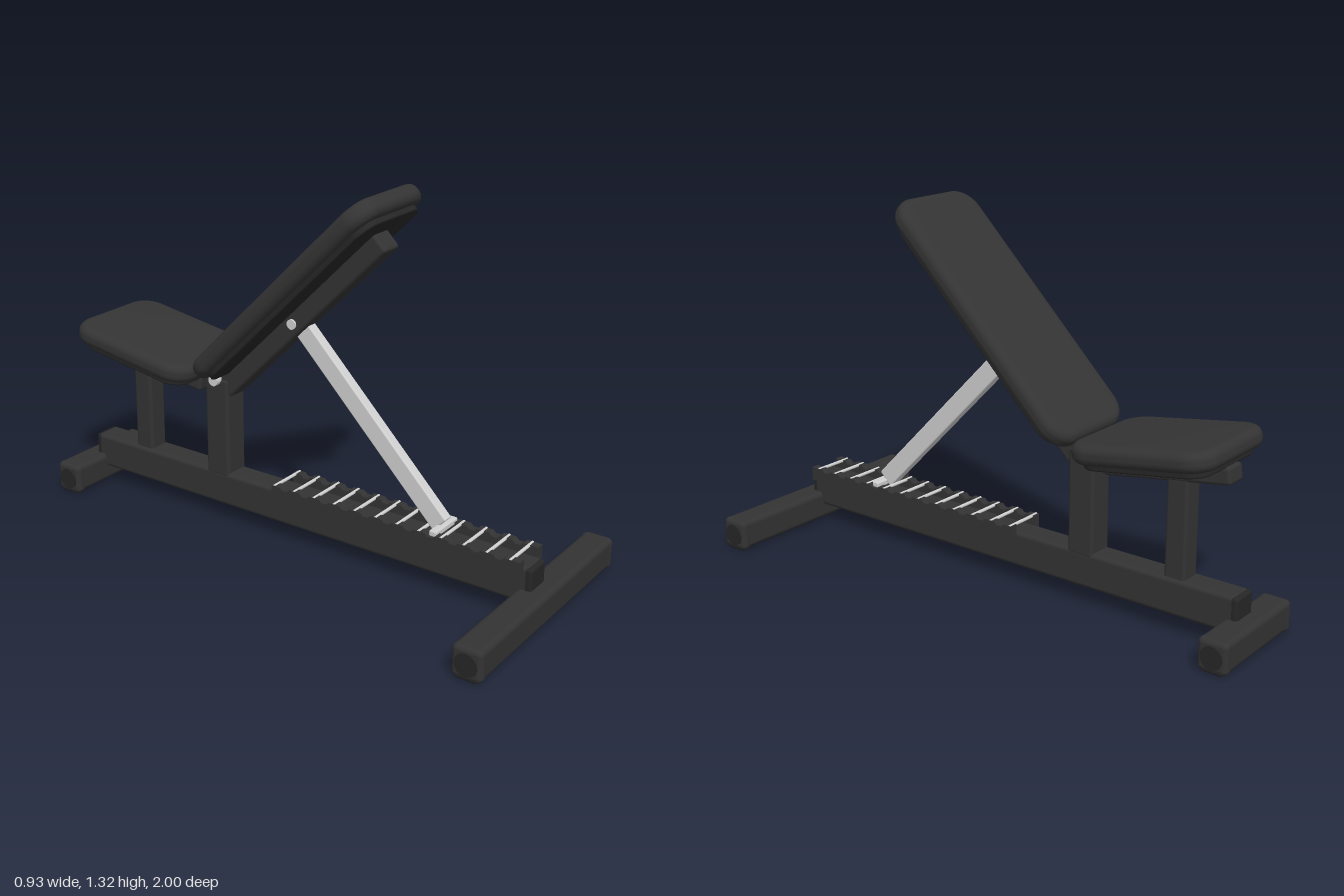
import * as THREE from 'three';
import { toCreasedNormals } from 'three/addons/utils/BufferGeometryUtils.js';
import { RoundedBoxGeometry } from 'three/addons/geometries/RoundedBoxGeometry.js';

const material = (name, color) => {
  const m = new THREE.MeshStandardMaterial({ color });
  m.name = name;
  return m;
};

// Rounded rectangle outline centred on the origin
function roundedRect(w, h, r) {
  const s = new THREE.Shape(), x = w / 2, y = h / 2;
  s.absarc(x - r, y - r, r, 0, Math.PI / 2);
  s.absarc(-x + r, y - r, r, Math.PI / 2, Math.PI);
  s.absarc(-x + r, -y + r, r, Math.PI, Math.PI * 1.5);
  s.absarc(x - r, -y + r, r, Math.PI * 1.5, Math.PI * 2);
  s.closePath();
  return s;
}

// Slab lying flat: w along x, l along z, t along y, with rounded corners and edges
function slab(w, l, t, corner, edge) {
  const g = new THREE.ExtrudeGeometry(roundedRect(w - 2 * edge, l - 2 * edge, corner - edge), {
    depth: t - 2 * edge, bevelEnabled: true, bevelThickness: edge, bevelSize: edge, bevelSegments: 5, curveSegments: 8,
  });
  g.center();
  g.rotateX(-Math.PI / 2);
  return toCreasedNormals(g, 0.6);
}

export function createModel() {
  const model = new THREE.Group();
  model.name = 'adjustableBench';
  const frame = material('darkFrame', 0x333333);
  const padding = material('padUpholstery', 0x343434);
  const rubber = material('blackRubber', 0x262626);
  const steel = material('paleSteel', 0xd0d0d0);

  const add = (parent, name, geometry, mat, x, y, z) => {
    const mesh = new THREE.Mesh(geometry, mat);
    mesh.name = name;
    mesh.position.set(x, y, z);
    parent.add(mesh);
    return mesh;
  };
  const tube = (w, h, d, r = 0.012) => new RoundedBoxGeometry(w, h, d, 3, r);
  const pin = (r, length) => new THREE.CylinderGeometry(r, r, length, 16).rotateZ(Math.PI / 2);

  // Base beam and its end caps
  add(model, 'baseBeam', tube(0.1, 0.13, 1.87, 0.016), frame, 0, 0.128, 0.002);
  for (const s of [-1, 1]) add(model, 'beamCap', tube(0.1, 0.126, 0.03), rubber, 0, 0.128, 0.002 + s * 0.928);

  // Cross feet with rubber end caps
  const foot = (name, half, z) => {
    const g = new THREE.Group();
    g.name = name;
    g.position.set(0, 0, z);
    model.add(g);
    add(g, 'footTube', tube(half * 2 - 0.01, 0.108, 0.106, 0.02), frame, 0, 0.06, 0);
    for (const s of [-1, 1]) {
      add(g, 'footCap', tube(0.04, 0.112, 0.108, 0.018), frame, s * (half - 0.02), 0.058, 0);
      add(g, 'footPad', tube(0.07, 0.02, 0.08, 0.008), rubber, s * (half - 0.036), 0.01, 0);
      add(g, 'capDisc', pin(0.04, 0.006), rubber, s * half, 0.056, 0);
    }
  };
  foot('frontFoot', 0.46, 0.946);
  foot('rearFoot', 0.21, -0.946);

  // Ladder rails with notched tops and steel rungs
  const pitch = 0.085, rungs = 12, firstZ = 0.88;
  const profile = new THREE.Shape();
  profile.moveTo(0.915, 0.17);
  profile.lineTo(0.915, 0.222);
  for (let i = 0; i < rungs; i++) {
    const z = firstZ - i * pitch;
    if (i === rungs - 1) break;
    profile.lineTo(z - 0.02, 0.222);
    profile.lineTo(z - 0.03, 0.212);
    profile.lineTo(z - 0.05, 0.212);
    profile.lineTo(z - 0.06, 0.222);
  }
  profile.lineTo(-0.065, 0.222);
  profile.lineTo(-0.065, 0.17);
  const rail = new THREE.ExtrudeGeometry(profile, { depth: 0.03, bevelEnabled: false });
  rail.rotateY(-Math.PI / 2); // profile x becomes z, depth runs toward -x
  add(model, 'leftRail', rail, frame, 0.079, 0, 0);
  add(model, 'rightRail', rail, frame, -0.049, 0, 0);
  for (let i = 0; i < rungs; i++) {
    add(model, 'rung', pin(0.006, 0.156), steel, 0, 0.219, firstZ - i * pitch);
  }

  // Upright posts
  add(model, 'frontPost', tube(0.1, 0.38, 0.102), frame, 0, 0.365, -0.334);
  add(model, 'rearPost', tube(0.08, 0.37, 0.08), frame, 0, 0.36, -0.7);
  add(model, 'hingePin', pin(0.02, 0.14), steel, 0, 0.552, -0.332);

  // Reclining back: local -z runs down the back, local y points out of the pad
  const back = new THREE.Group();
  back.name = 'backrest';
  back.rotation.x = -Math.PI / 4;
  model.add(back);
  add(back, 'backPad', slab(0.394, 1.012, 0.07, 0.09, 0.03), padding, 0, 0.665, 0.683);
  add(back, 'backPlate', slab(0.34, 0.94, 0.03, 0.07, 0.006), rubber, 0, 0.626, 0.68);
  add(back, 'backTube', tube(0.088, 0.081, 0.915), frame, 0, 0.5845, 0.6085);
  add(back, 'strutBolt', pin(0.018, 0.102), steel, 0, 0.583, 0.583);

  // Seat, rising slightly toward the rear
  const seat = new THREE.Group();
  seat.name = 'seat';
  seat.position.set(0, 0.626, -0.631);
  seat.rotation.x = 0.15;
  model.add(seat);
  add(seat, 'seatPad', slab(0.42, 0.535, 0.07, 0.09, 0.03), padding, 0, 0, 0);
  add(seat, 'seatPlate', slab(0.36, 0.47, 0.03, 0.07, 0.006), rubber, 0, -0.04, 0);
  add(seat, 'seatTube', tube(0.084, 0.06, 0.48), frame, 0, -0.081, -0.008);

  // Support strut with its locking crosspiece
  const top = new THREE.Vector3(0, 0.825, 0), bottom = new THREE.Vector3(0, 0.238, 0.578);
  const mid = top.clone().add(bottom).multiplyScalar(0.5);
  const strut = add(model, 'supportStrut', tube(0.04, 0.07, top.distanceTo(bottom) + 0.02, 0.006), steel, mid.x, mid.y, mid.z);
  strut.lookAt(bottom);
  add(model, 'strutCrossbar', tube(0.14, 0.022, 0.03, 0.006), steel, 0, 0.222, 0.59);

  return model;
}
